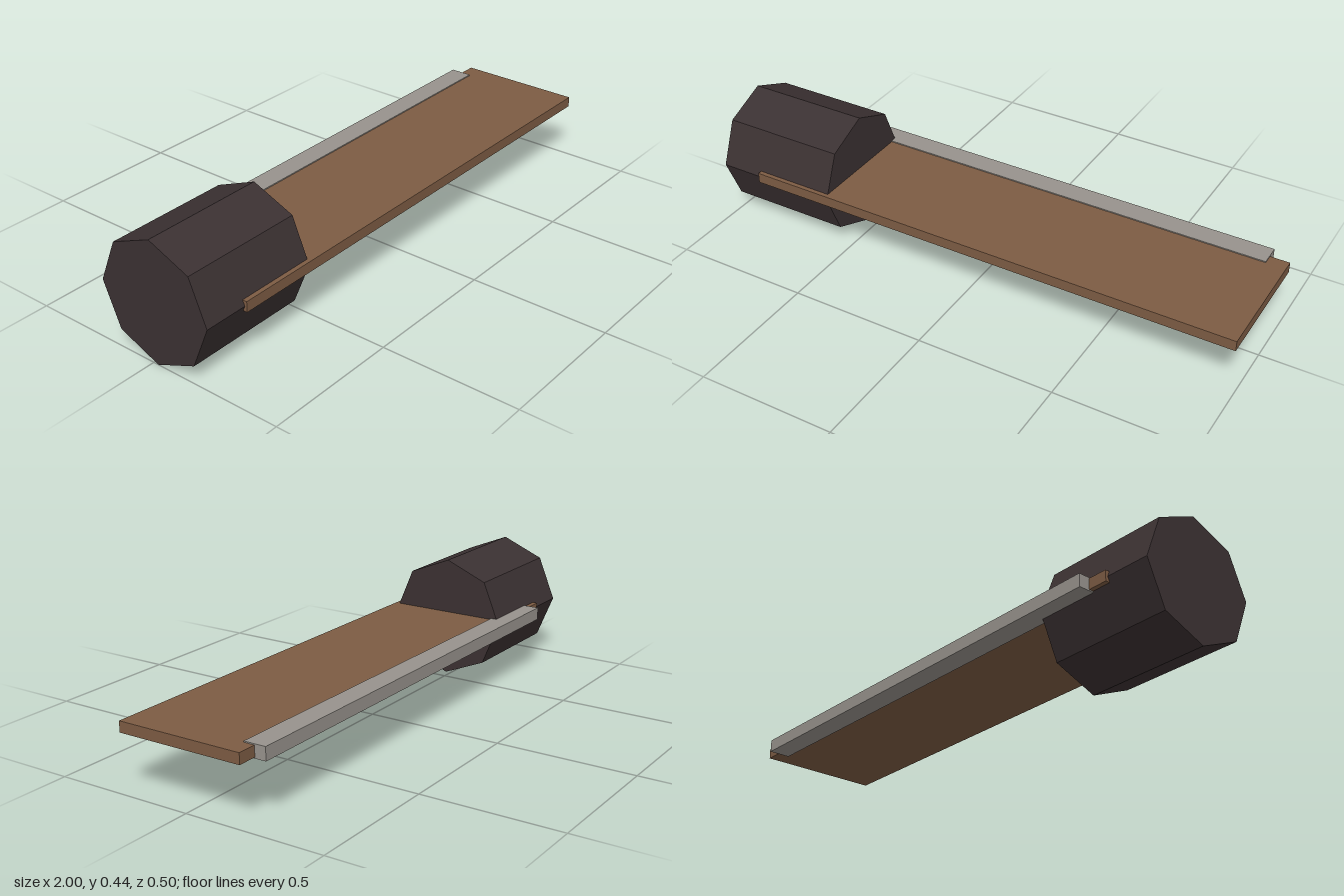
import * as THREE from 'three';

const material = (name, color) => {
  const m = new THREE.MeshStandardMaterial({ color });
  m.name = name;
  return m;
};

export function createModel() {
  const model = new THREE.Group();
  const wood = material('brown wood', 0x7c5b43);
  const metal = material('grey metal', 0x97928c);
  const grip = material('dark grip', 0x3b3132);
  grip.flatShading = true;

  // Box from its minimum and maximum corners
  const slab = (name, mat, [x0, y0, z0], [x1, y1, z1]) => {
    const mesh = new THREE.Mesh(new THREE.BoxGeometry(x1 - x0, y1 - y0, z1 - z0), mat);
    mesh.position.set((x0 + x1) / 2, (y0 + y1) / 2, (z0 + z1) / 2);
    mesh.name = name;
    model.add(mesh);
  };

  // Flat board, running into the handle
  slab('blade', wood, [-0.84, 0.203, -0.21], [1, 0.241, 0.25]);

  // Slightly thicker strip along the back edge
  slab('edgeStrip', metal, [-0.77, 0.199, -0.25], [0.93, 0.245, -0.17]);

  // Eight-sided handle lying along x, with a corner at the top
  const radius = 0.2215;
  const handle = new THREE.Mesh(new THREE.CylinderGeometry(radius, radius, 0.455, 8), grip);
  handle.rotation.z = Math.PI / 2;
  handle.position.set(-0.7725, radius, 0.02);
  handle.name = 'handle';
  model.add(handle);

  return model;
}
